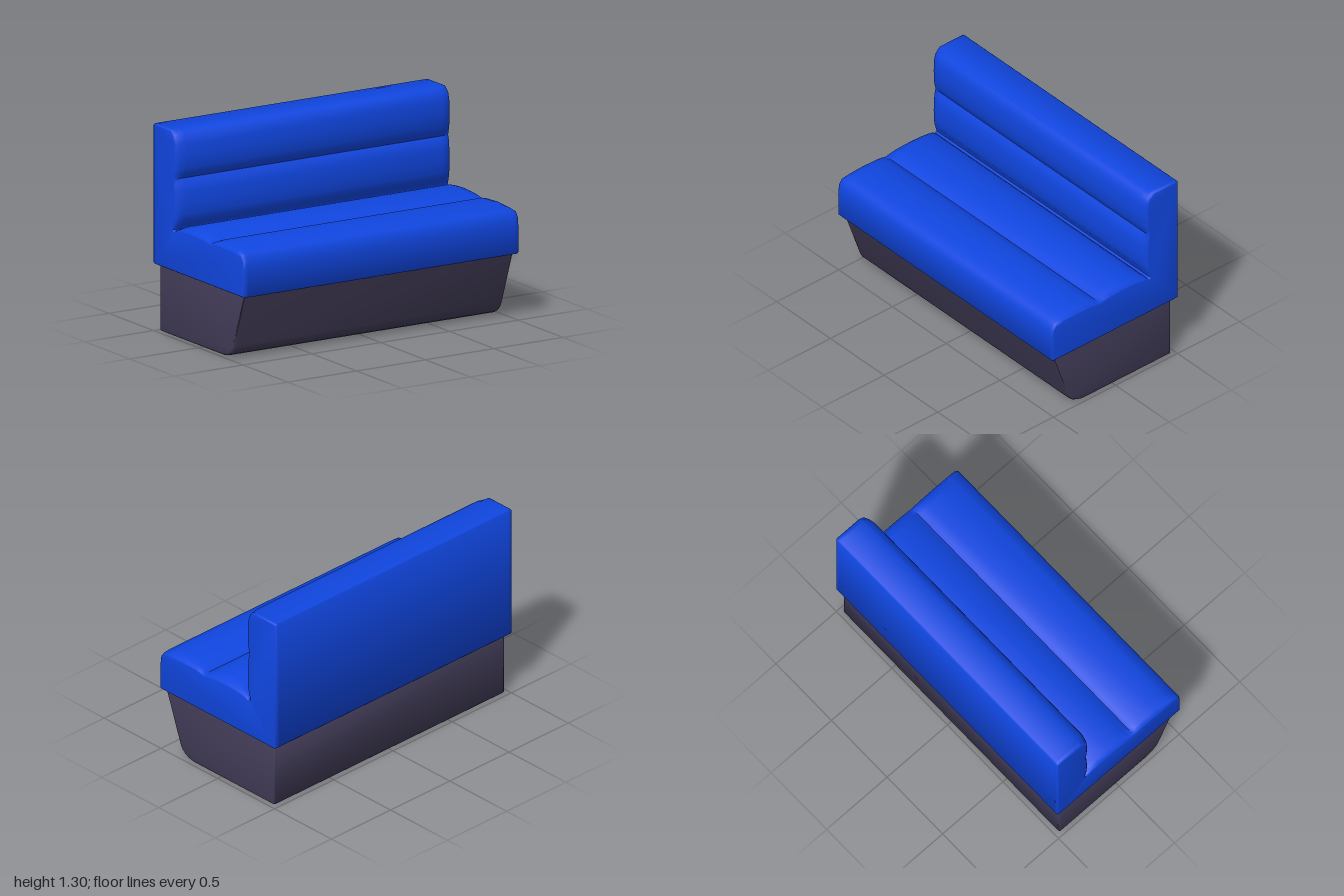
import * as THREE from 'three';
import { toCreasedNormals } from 'three/addons/utils/BufferGeometryUtils.js';

const blue = new THREE.MeshStandardMaterial({ color: 0x1046e0 });
const dark = new THREE.MeshStandardMaterial({ color: 0x423c58 });

// Shrink a closed counter-clockwise [z, y] outline by d
function inset(points, d) {
  const n = points.length;
  return points.map(([z, y], i) => {
    const a = points[(i + n - 1) % n], b = points[(i + 1) % n];
    const dz = b[0] - a[0], dy = b[1] - a[1], len = Math.hypot(dz, dy);
    return [z - (dy / len) * d, y + (dz / len) * d];
  });
}

// Skin a row of sections { x, points } running from -x to +x and cap both ends
function loft(sections) {
  const n = sections[0].points.length;
  const position = sections.flatMap(({ x, points }) => points.flatMap(([z, y]) => [x, y, z]));
  const index = [];
  for (let s = 0; s < sections.length - 1; s++) {
    for (let i = 0; i < n; i++) {
      const j = (i + 1) % n;
      const a = s * n + i, b = s * n + j, c = a + n, d = b + n;
      index.push(a, d, b, a, c, d);
    }
  }
  const last = (sections.length - 1) * n;
  const cap = (points) => THREE.ShapeUtils.triangulateShape(points.map((p) => new THREE.Vector2(...p)), []);
  for (const [a, b, c] of cap(sections[0].points)) index.push(a, b, c);
  for (const [a, b, c] of cap(sections[sections.length - 1].points)) index.push(last + a, last + c, last + b);
  const geometry = new THREE.BufferGeometry();
  geometry.setAttribute('position', new THREE.Float32BufferAttribute(position, 3));
  geometry.setIndex(index);
  return toCreasedNormals(geometry, 0.85);
}

// Mirror half of the sections (outermost first) to the other side
function mirrored(half) {
  return [
    ...half.map(({ x, points }) => ({ x: -x, points })),
    ...half.slice().reverse(),
  ];
}

function addMesh(group, name, geometry, material) {
  const mesh = new THREE.Mesh(geometry, material);
  mesh.name = name;
  group.add(mesh);
}

export function createModel() {
  const group = new THREE.Group();
  group.name = 'boothBench';

  // Upholstery outline: two seat rolls, then two backrest rolls
  const seatFront = [[-0.497, 0.42], [0.5, 0.42], [0.51, 0.43], [0.51, 0.6]];
  const seatRolls = [
    [0.504, 0.65], [0.48, 0.69], [0.42, 0.71], [0.32, 0.722], [0.2, 0.716], [0.15, 0.7],
    [0.125, 0.683], [0.09, 0.702], [0.04, 0.721], [-0.07, 0.73], [-0.16, 0.722],
    [-0.22, 0.705], [-0.25, 0.688], [-0.27, 0.67],
  ];
  const backRolls = [
    [-0.282, 0.68], [-0.275, 0.7], [-0.25, 0.74], [-0.238, 0.78], [-0.234, 0.85], [-0.239, 0.92],
    [-0.25, 0.97], [-0.272, 1.0], [-0.255, 1.03], [-0.238, 1.07], [-0.234, 1.15], [-0.239, 1.22],
    [-0.25, 1.26], [-0.272, 1.29], [-0.31, 1.305],
  ];
  const backRear = [[-0.497, 1.305], [-0.507, 1.295], [-0.507, 0.43]];

  // The rolls flatten towards both ends of the bench
  const outline = (pinch) => [
    ...seatFront,
    ...seatRolls.map(([z, y]) => [z, y > 0.68 ? y - (y - 0.68) * 0.6 * pinch : y]),
    ...backRolls.map(([z, y]) => [
      z > -0.275 ? z - (z + 0.275) * 0.6 * pinch : z,
      y > 1.2 ? y - (1.305 - z - y > 0.3 ? 0 : 0.02 * pinch) : y,
    ]),
    ...backRear,
  ];
  const upholstery = mirrored([
    { x: 1, points: inset(outline(1), 0.01) },
    { x: 0.997, points: inset(outline(1), 0.004) },
    { x: 0.99, points: outline(0.9) },
    { x: 0.97, points: outline(0.45) },
    { x: 0.93, points: outline(0) },
  ]);
  addMesh(group, 'upholstery', loft(upholstery), blue);

  // Plinth with a raked front and a rounded toe
  const plinth = [
    [-0.462, 0], [0.24, 0], [0.28, 0.008], [0.315, 0.024], [0.345, 0.05], [0.362, 0.082],
    [0.477, 0.425], [-0.462, 0.425], [-0.469, 0.418], [-0.469, 0.007],
  ];
  const base = mirrored([
    { x: 0.975, points: inset(plinth, 0.014) },
    { x: 0.971, points: inset(plinth, 0.005) },
    { x: 0.961, points: plinth },
  ]);
  addMesh(group, 'plinth', loft(base), dark);

  return group;
}
